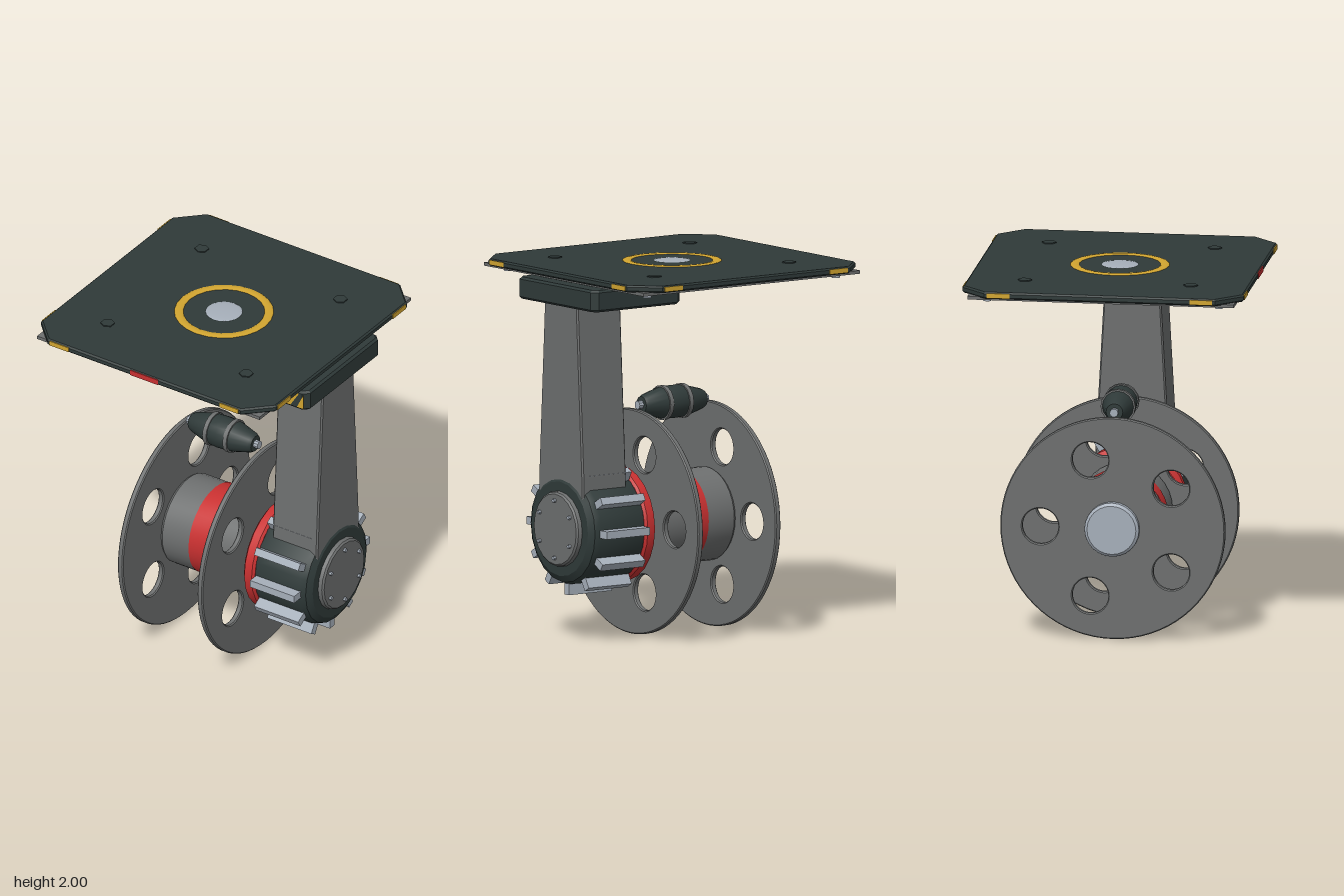
import * as THREE from 'three';
import { toCreasedNormals } from 'three/addons/utils/BufferGeometryUtils.js';

const mat = (name, color) => {
  const m = new THREE.MeshStandardMaterial({ color });
  m.name = name;
  return m;
};

export function createModel() {
  const root = new THREE.Group();
  const dark = mat('dark paint', 0x2f3a39);
  const grey = mat('grey metal', 0x6d6f6f);
  const steel = mat('light steel', 0xa6afba);
  const red = mat('red paint', 0xc83030);
  const yellow = mat('yellow paint', 0xd2a530);
  const CX = -0.018, AY = 0.608; // plate centre and axle height

  const add = (name, geo, material, x = 0, y = 0, z = 0, parent = root) => {
    const mesh = new THREE.Mesh(geo, material);
    mesh.name = name;
    mesh.position.set(x, y, z);
    parent.add(mesh);
    return mesh;
  };
  const box = (w, h, d) => new THREE.BoxGeometry(w, h, d);
  // turned part along x from [x, radius] pairs
  const turned = (profile, segments) => toCreasedNormals(
    new THREE.LatheGeometry(profile.map(([x, r]) => new THREE.Vector2(r, x)), segments).rotateZ(-Math.PI / 2), 0.5);
  // horizontal slab with cut corners and bevelled edges, bottom at y = 0
  const slab = (w, d, h, cut, bevel) => {
    const a = w / 2 - bevel, b = d / 2 - bevel;
    const s = new THREE.Shape([
      [-a + cut, -b], [a - cut, -b], [a, -b + cut], [a, b - cut],
      [a - cut, b], [-a + cut, b], [-a, b - cut], [-a, -b + cut],
    ].map(p => new THREE.Vector2(...p)));
    return new THREE.ExtrudeGeometry(s, {
      depth: h - 2 * bevel, bevelEnabled: true, bevelSize: bevel, bevelThickness: bevel, bevelSegments: 1,
    }).translate(0, 0, bevel).rotateX(-Math.PI / 2);
  };

  // Mounting plate with frame underneath
  add('mountingPlate', slab(1.515, 1.515, 0.038, 0.13, 0.009), dark, CX, 1.955, 0);
  const frame = new THREE.Group();
  frame.name = 'plateFrame';
  frame.position.set(CX, 1.95, 0);
  root.add(frame);
  for (const s of [-1, 1]) {
    add('frameRail', box(1.436, 0.018, 0.05), grey, 0, 0, s * 0.693, frame);
    add('frameRail', box(0.05, 0.018, 1.34), grey, s * 0.693, 0, 0, frame);
    for (const t of [-1, 1]) {
      add('frameGusset', box(0.1, 0.016, 0.1), grey, s * 0.63, 0, t * 0.63, frame);
      add('frameBolt', new THREE.CylinderGeometry(0.022, 0.022, 0.026, 8), steel, s * 0.625, -0.02, t * 0.625, frame);
      add('plateBolt', new THREE.CylinderGeometry(0.038, 0.038, 0.012, 6), dark, CX + s * 0.447, 1.993, t * 0.447);
    }
  }

  // Painted marks on the plate edges
  for (let side = 0; side < 4; side++) {
    const edge = new THREE.Group();
    edge.name = 'edgeMarks';
    edge.position.set(CX, 1.974, 0);
    edge.rotation.y = side * Math.PI / 2;
    root.add(edge);
    for (const s of [-1, 1]) add('edgeMark', box(0.122, 0.026, 0.006), yellow, s * 0.547, 0, 0.757, edge);
    if (side === 0) add('frontMark', box(0.18, 0.03, 0.006), red, 0, 0, 0.757, edge);
  }

  // Ring and dome in the middle of the plate
  add('plateRing', new THREE.TorusGeometry(0.242, 0.027, 8, 24).rotateX(Math.PI / 2).scale(1, 0.28, 1), yellow, CX, 1.991, 0);
  add('plateDome', new THREE.SphereGeometry(0.1, 20, 6, 0, Math.PI * 2, 0, Math.PI / 2).scale(1, 0.08, 1), steel, CX, 1.992, 0);

  // Arm head with hazard stripes
  add('armHeadSpacer', box(0.4, 0.03, 0.5), dark, 0.465, 1.943, 0);
  add('armHead', slab(0.588, 0.704, 0.118, 0.025, 0.012), dark, 0.463, 1.814, 0);
  const stripe = 0.046, pitch = 0.088, lean = 0.055;
  for (let i = 0; i < 7; i++) {
    const x = 0.165 + i * pitch;
    const pts = [[x, 1.83], [x + stripe, 1.83], [x + stripe + lean, 1.917], [x + lean, 1.917]]
      .map(([px, py]) => new THREE.Vector2(THREE.MathUtils.clamp(px, 0.2, 0.735), py));
    add('hazardStripe', new THREE.ShapeGeometry(new THREE.Shape(pts)), yellow, 0, 0, 0.355);
  }

  // Tapered arm
  const armShape = new THREE.Shape([[-0.204, 0.7], [0.204, 0.7], [0.198, 0.9], [0.147, 1.83], [-0.147, 1.83], [-0.198, 0.9]]
    .map(p => new THREE.Vector2(...p)));
  add('arm', new THREE.ExtrudeGeometry(armShape, {
    depth: 0.274, bevelEnabled: true, bevelSize: 0.008, bevelOffset: -0.008, bevelThickness: 0.008, bevelSegments: 1,
  }).rotateY(Math.PI / 2), grey, 0.438, 0, 0);

  // Motor
  add('motorBody', turned([[0.37, 0], [0.37, 0.295], [0.4, 0.304], [0.67, 0.304], [0.705, 0.29], [0.727, 0.255], [0.727, 0]], 20), dark, 0, AY, 0);
  add('motorCollar', turned([[0.305, 0], [0.305, 0.285], [0.325, 0.313], [0.372, 0.313], [0.385, 0.3], [0.385, 0]], 24), red, 0, AY, 0);
  add('motorCap', turned([[0.72, 0], [0.72, 0.205], [0.748, 0.2], [0.757, 0.19], [0.757, 0]], 20), grey, 0, AY, 0);
  for (let i = 0; i < 12; i++) {
    const a = i * Math.PI / 6;
    const fin = add('motorFin', box(0.285, 0.09, 0.042), steel, 0.537, AY + 0.315 * Math.cos(a), 0.315 * Math.sin(a));
    fin.rotation.x = a;
  }
  for (let i = 0; i < 6; i++) {
    const a = i * Math.PI / 3;
    add('capBolt', turned([[0.75, 0], [0.75, 0.011], [0.772, 0.011], [0.772, 0]], 6), steel, 0, AY + 0.155 * Math.cos(a), 0.155 * Math.sin(a));
  }

  // Reel: axle, drum, flanges and end cap
  add('axle', turned([[-0.29, 0], [-0.29, 0.062], [0.32, 0.062], [0.32, 0]], 16), steel, 0, AY, 0);
  add('drumLeft', turned([[0.04, 0], [0.04, 0.252], [0.205, 0.252], [0.222, 0.24], [0.222, 0]], 32), grey, 0, AY, 0);
  add('drumRight', turned([[-0.262, 0], [-0.262, 0.24], [-0.245, 0.252], [-0.075, 0.252], [-0.075, 0]], 32), grey, 0, AY, 0);
  add('drumBand', turned([[-0.075, 0], [-0.075, 0.254], [0.04, 0.254], [0.04, 0]], 32), red, 0, AY, 0);
  const disc = new THREE.Shape().absarc(0, 0, 0.606, 0, Math.PI * 2);
  for (let i = 0; i < 5; i++) {
    const a = i * Math.PI * 0.4;
    disc.holes.push(new THREE.Path().absarc(0.39 * Math.cos(a), 0.39 * Math.sin(a), 0.097, 0, Math.PI * 2, true));
  }
  const flange = toCreasedNormals(new THREE.ExtrudeGeometry(disc, {
    depth: 0.022, curveSegments: 36, bevelEnabled: true, bevelSize: 0.006, bevelOffset: -0.006, bevelThickness: 0.006, bevelSegments: 1,
  }).rotateY(Math.PI / 2), 0.5);
  for (const x of [-0.288, 0.226]) add('reelFlange', flange, grey, x, AY, 0);
  add('reelEndCap', turned([[-0.336, 0], [-0.336, 0.132], [-0.324, 0.147], [-0.29, 0.147], [-0.29, 0]], 24), steel, 0, AY, 0);

  // Guide roller above the drum
  const RY = 1.23;
  add('rollerBarrel', turned([[-0.222, 0], [-0.222, 0.045], [-0.205, 0.055], [-0.09, 0.086], [-0.018, 0.09],
    [0.055, 0.086], [0.168, 0.055], [0.185, 0.045], [0.185, 0]], 16), dark, 0, RY, 0);
  for (const x of [-0.083, 0.047])
    add('rollerRing', turned([[x - 0.012, 0], [x - 0.012, 0.094], [x + 0.012, 0.094], [x + 0.012, 0]], 16), grey, 0, RY, 0);
  add('rollerPin', turned([[-0.248, 0], [-0.248, 0.023], [0.212, 0.023], [0.212, 0]], 10), steel, 0, RY, 0);

  return root;
}
